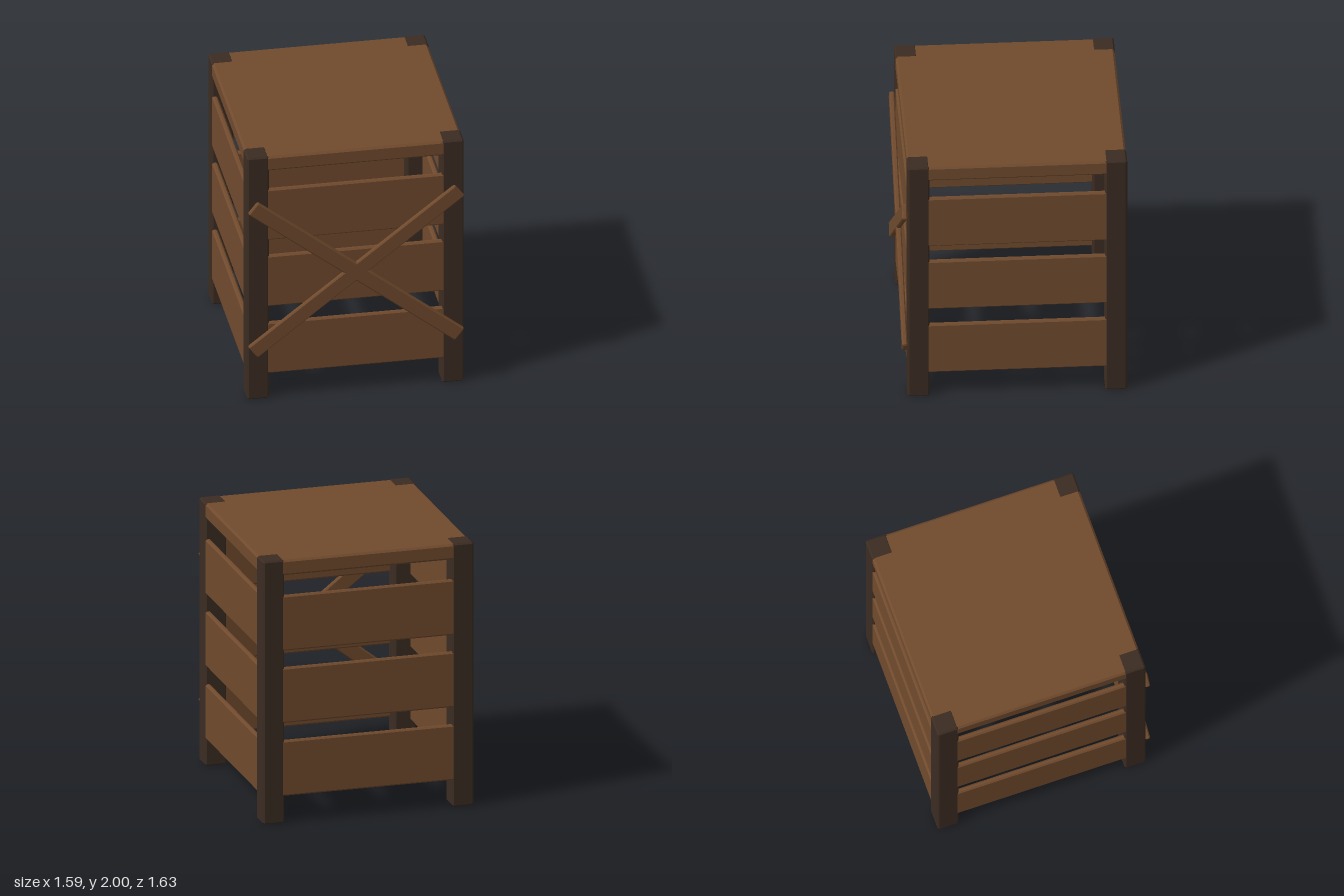
import * as THREE from 'three';
import { ConvexGeometry } from 'three/addons/geometries/ConvexGeometry.js';

// Box with every edge chamfered
function chamferBox(w, h, d, c = 0.012) {
  const points = [];
  for (const sx of [-1, 1]) for (const sy of [-1, 1]) for (const sz of [-1, 1]) {
    const x = sx * w / 2, y = sy * h / 2, z = sz * d / 2;
    points.push(
      new THREE.Vector3(x, y - sy * c, z - sz * c),
      new THREE.Vector3(x - sx * c, y, z - sz * c),
      new THREE.Vector3(x - sx * c, y - sy * c, z));
  }
  return new ConvexGeometry(points);
}

export function createModel() {
  const plankWood = new THREE.MeshStandardMaterial({ color: 0x704a2d });
  plankWood.name = 'plankWood';
  const postWood = new THREE.MeshStandardMaterial({ color: 0x3b2c22 });
  postWood.name = 'postWood';

  const model = new THREE.Group();
  model.name = 'woodenCrate';
  const HALF = 0.796, POST = 0.16, THICK = 0.04, INSET = 0.003;
  const frame = new THREE.Group();
  frame.name = 'frame';
  frame.position.z = -0.019;
  model.add(frame);

  function add(parent, name, geometry, material, x, y, z) {
    const mesh = new THREE.Mesh(geometry, material);
    mesh.name = name;
    mesh.position.set(x, y, z);
    parent.add(mesh);
    return mesh;
  }

  // Corner posts
  const postGeometry = chamferBox(POST, 2, POST);
  const p = HALF - POST / 2;
  for (const sx of [-1, 1]) for (const sz of [-1, 1]) {
    const name = (sz > 0 ? 'front' : 'back') + (sx > 0 ? 'Left' : 'Right') + 'Post';
    add(frame, name, postGeometry, postWood, sx * p, 1, sz * p);
  }

  // Lid, set a hair inside the posts
  const span = 2 * (HALF - INSET);
  add(frame, 'lid', chamferBox(span, 0.118, span, 0.015), plankWood, 0, 1.938, 0);

  // Three wide slats on each of the four sides
  const slatGeometry = chamferBox(span - 0.04, 0.42, THICK);
  const sides = ['front', 'left', 'back', 'right'];
  sides.forEach((side, i) => {
    const wall = new THREE.Group();
    wall.name = side + 'Wall';
    wall.rotation.y = i * Math.PI / 2;
    frame.add(wall);
    for (const y of [0.413, 0.967, 1.516]) {
      add(wall, side + 'Slat', slatGeometry, plankWood, 0, y, HALF - INSET - THICK / 2);
    }
  });

  // Crossed braces on the front
  const braceGeometry = chamferBox(1.93, 0.115, 0.038, 0.009);
  for (const s of [-1, 1]) {
    const brace = add(model, s > 0 ? 'risingBrace' : 'fallingBrace', braceGeometry, plankWood, 0, 1.003, 0.796);
    brace.rotation.z = s * 0.665;
  }

  return model;
}
